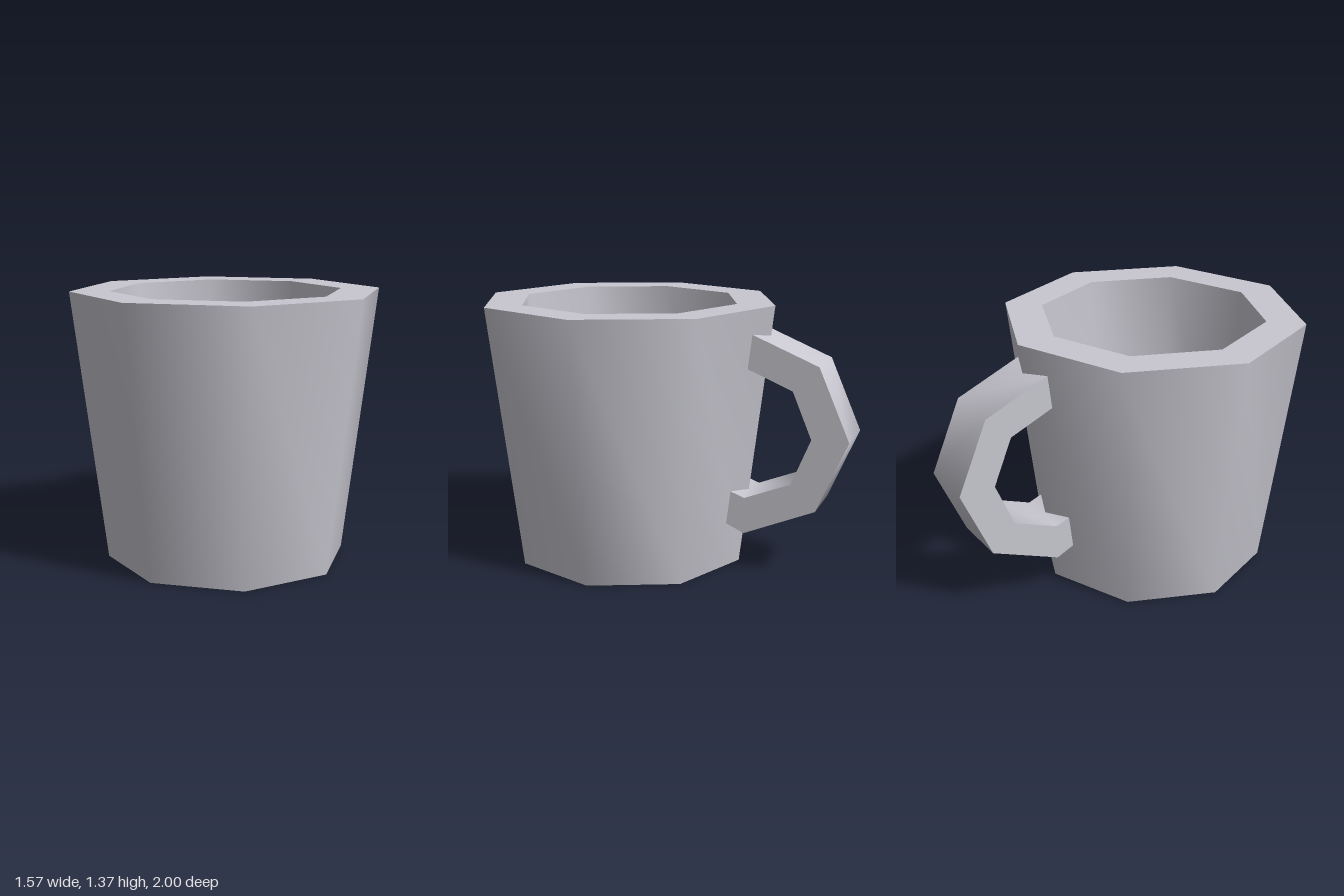
import * as THREE from 'three';
import { toCreasedNormals } from 'three/addons/utils/BufferGeometryUtils.js';

const CREASE = THREE.MathUtils.degToRad(55);
const points = (list) => list.map(([a, b]) => new THREE.Vector2(a, b));

export function createModel() {
  const group = new THREE.Group();
  group.name = 'mug';

  const ceramic = new THREE.MeshStandardMaterial({ color: 0xc8c7d0 });
  ceramic.name = 'pale grey ceramic';

  const addPart = (name, geometry) => {
    const mesh = new THREE.Mesh(toCreasedNormals(geometry, CREASE), ceramic);
    mesh.name = name;
    group.add(mesh);
    return mesh;
  };

  // Eight-sided tapered cup: underside, outer wall, thick rim, inner wall, floor
  const profile = points([
    [0, 0], [0.615, 0], [0.785, 1.37], [0.585, 1.37], [0.5, 0.2], [0, 0.2],
  ]);
  addPart('cup', new THREE.LatheGeometry(profile, 8)).position.z = 0.21;

  // Angular handle: side outline as (z, y), extruded across x
  const outline = new THREE.Shape(points([
    [-0.49, 1.245], [-0.84, 1.1], [-1, 0.73], [-0.84, 0.36], [-0.47, 0.205], [-0.37, 0.25],
    [-0.39, 0.425], [-0.47, 0.395], [-0.71, 0.49], [-0.81, 0.73], [-0.71, 0.97], [-0.47, 1.07],
  ]));
  const width = 0.29;
  const handle = new THREE.ExtrudeGeometry(outline, { depth: width, bevelEnabled: false });
  handle.translate(0, 0, -width / 2).rotateY(-Math.PI / 2);
  addPart('handle', handle);

  return group;
}
